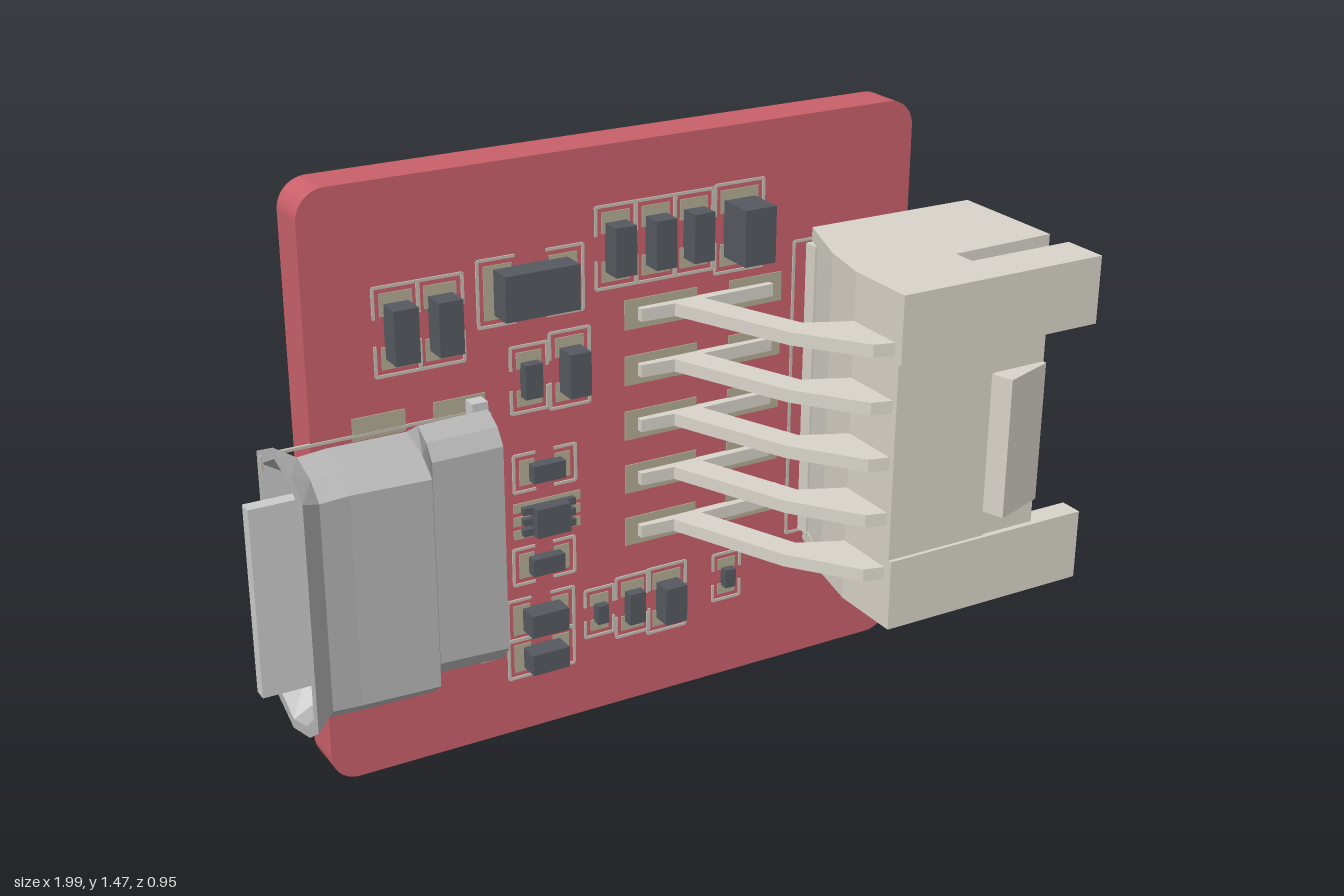
import * as THREE from 'three';

const mat = (color, opts = {}) => {
  const m = new THREE.MeshStandardMaterial({ color, ...opts });
  return m;
};
const RED = mat(0xc9606a), DARK = mat(0x555a60), PAD = mat(0xb3ab94);
const IVORY = mat(0xd8d4ca), STEEL = mat(0xb4b4b4, { side: THREE.DoubleSide, flatShading: true });
const METAL = mat(0xcccccc), SILK = mat(0xc4bfb4);
const FRONT = -0.095, BACK = -0.205; // board faces

export function createModel() {
  const root = new THREE.Group();
  const add = (parent, name, geo, material) => {
    const m = new THREE.Mesh(geo, material);
    m.name = name;
    parent.add(m);
    return m;
  };
  const group = (name) => {
    const g = new THREE.Group();
    g.name = name;
    root.add(g);
    return g;
  };
  // box from its minimum and maximum corners
  const box = (parent, name, material, x0, x1, y0, y1, z0, z1) => {
    const g = new THREE.BoxGeometry(x1 - x0, y1 - y0, z1 - z0);
    return add(parent, name, g.translate((x0 + x1) / 2, (y0 + y1) / 2, (z0 + z1) / 2), material);
  };
  // outline in x,z raised from y0 to y1
  const prism = (parent, name, material, pts, y0, y1) => {
    const s = new THREE.Shape(pts.map(([x, z]) => new THREE.Vector2(x, -z)));
    const g = new THREE.ExtrudeGeometry(s, { depth: y1 - y0, bevelEnabled: false });
    return add(parent, name, g.rotateX(-Math.PI / 2).translate(0, y0, 0), material);
  };
  // thin pad lying on the front (side 1) or back (side -1) face
  const pad = (parent, cx, cy, w, h, side = 1) => {
    const z = side > 0 ? FRONT : BACK;
    box(parent, 'pad', PAD, cx - w / 2, cx + w / 2, cy - h / 2, cy + h / 2, z - 0.003, z + 0.003);
  };
  // pair of facing printed brackets around a part
  const brackets = (parent, x0, x1, y0, y1, vertical, side = 1, leg = 0.35) => {
    const t = 0.007, z = side > 0 ? FRONT : BACK;
    const line = (a, b, c, d) => box(parent, 'outline', SILK, a, b, c, d, z - 0.004, z + 0.004);
    const l = leg * (vertical ? y1 - y0 : x1 - x0);
    if (vertical) {
      for (const y of [y0, y1]) line(x0, x1, y - t / 2, y + t / 2);
      for (const x of [x0, x1]) {
        line(x - t / 2, x + t / 2, y0, y0 + l);
        line(x - t / 2, x + t / 2, y1 - l, y1);
      }
    } else {
      for (const x of [x0, x1]) line(x - t / 2, x + t / 2, y0, y1);
      for (const y of [y0, y1]) {
        line(x0, x0 + l, y - t / 2, y + t / 2);
        line(x1 - l, x1, y - t / 2, y + t / 2);
      }
    }
  };

  // circuit board with rounded corners
  const r = 0.07, X0 = -0.805, X1 = 0.81, H = 1.465;
  const s = new THREE.Shape();
  s.absarc(X1 - r, r, r, -Math.PI / 2, 0);
  s.absarc(X1 - r, H - r, r, 0, Math.PI / 2);
  s.absarc(X0 + r, H - r, r, Math.PI / 2, Math.PI);
  s.absarc(X0 + r, r, r, Math.PI, 1.5 * Math.PI);
  const board = new THREE.ExtrudeGeometry(s, { depth: FRONT - BACK, bevelEnabled: false, curveSegments: 8 });
  add(root, 'board', board.translate(0, 0, BACK), RED);

  // small chips: centre x, centre y, body width, body height, depth, vertical, side
  const chips = [
    [-0.585, 1.115, 0.06, 0.13, 0.06, 1], [-0.477, 1.115, 0.06, 0.13, 0.06, 1],
    [-0.25, 1.16, 0.19, 0.11, 0.065, 0],
    [-0.028, 1.22, 0.055, 0.12, 0.055, 1], [0.08, 1.22, 0.055, 0.12, 0.055, 1],
    [0.183, 1.22, 0.055, 0.12, 0.055, 1], [0.31, 1.215, 0.085, 0.14, 0.1, 1],
    [-0.26, 0.935, 0.045, 0.085, 0.03, 1], [-0.153, 0.94, 0.055, 0.11, 0.06, 1],
    [-0.224, 0.697, 0.085, 0.045, 0.03, 0], [-0.23, 0.452, 0.085, 0.045, 0.03, 0],
    [-0.242, 0.308, 0.1, 0.06, 0.055, 0], [-0.242, 0.203, 0.1, 0.055, 0.055, 0],
    [-0.08, 0.275, 0.03, 0.05, 0.025, 1], [0.015, 0.27, 0.045, 0.085, 0.03, 1],
    [0.113, 0.265, 0.06, 0.1, 0.055, 1], [0.29, 0.283, 0.03, 0.05, 0.025, 1],
    [-0.645, 0.8, 0.075, 0.045, 0.035, 0, -1], [-0.645, 0.7, 0.045, 0.032, 0.02, 0, -1],
    [-0.5, 0.49, 0.045, 0.032, 0.02, 0, -1], [-0.5, 0.4, 0.075, 0.045, 0.035, 0, -1],
  ];
  for (const [x, y, w, h, d, v, side = 1] of chips) {
    const g = group('chip');
    const z = side > 0 ? FRONT : BACK;
    box(g, 'chipBody', DARK, x - w / 2, x + w / 2, y - h / 2, y + h / 2,
      side > 0 ? z : z - d, side > 0 ? z + d : z);
    const pw = w + (v ? 0.02 : 0.05), ph = h + (v ? 0.05 : 0.02);
    for (const k of [-1, 1]) {
      if (v) pad(g, x, y + k * ph * 0.35, pw, ph * 0.3, side);
      else pad(g, x + k * pw * 0.35, y, pw * 0.3, ph, side);
    }
    const ox = w / 2 + (v ? 0.025 : 0.04), oy = h / 2 + (v ? 0.04 : 0.025);
    brackets(g, x - ox, x + ox, y - oy, y + oy, v, side);
  }

  // small transistor package with six legs
  const sot = group('transistor');
  box(sot, 'transistorBody', DARK, -0.265, -0.175, 0.535, 0.61, FRONT, FRONT + 0.04);
  for (const k of [-1, 0, 1]) {
    pad(sot, -0.22, 0.573 + k * 0.035, 0.18, 0.024);
    box(sot, 'transistorLeg', DARK, -0.29, -0.15, 0.564 + k * 0.028, 0.582 + k * 0.028, FRONT, FRONT + 0.018);
  }

  // right side socket: shroud with slotted side walls, open towards +x
  const socket = group('wireSocket');
  const wall = [[0.42, 0.24], [0.42, 0.43], [0.99, 0.43], [0.99, 0.31], [0.7, 0.31], [0.7, 0.25],
    [0.99, 0.24], [0.99, -0.085], [0.52, -0.09], [0.45, 0.1]];
  prism(socket, 'socketWall', IVORY, wall, 1.14, 1.18);
  prism(socket, 'socketWall', IVORY, wall, 0.335, 0.375);
  prism(socket, 'socketCore', IVORY,
    [[0.42, 0.24], [0.42, 0.42], [0.7, 0.42], [0.7, -0.08], [0.52, -0.08], [0.45, 0.1]], 0.37, 1.145);
  const arm = [[0.42, 0.37], [0.42, 0.43], [0.99, 0.43], [0.99, 0.37]];
  prism(socket, 'frontArm', IVORY, arm, 1.01, 1.15);
  prism(socket, 'frontArm', IVORY, arm, 0.365, 0.515);
  prism(socket, 'backWall', IVORY, [[0.5, -0.085], [0.5, -0.045], [0.95, -0.045], [0.95, -0.085]], 0.37, 1.145);
  box(socket, 'frontWall', IVORY, 0.6, 0.85, 0.5, 1.02, 0.37, 0.415);
  prism(socket, 'latch', IVORY, [[0.69, 0.41], [0.71, 0.475], [0.85, 0.425], [0.85, 0.41]], 0.58, 0.935);

  // bent contacts and their pads
  const lead = [[0.03, FRONT], [0.03, -0.075], [0.12, -0.07], [0.25, 0.23], [0.37, 0.39], [0.44, 0.41],
    [0.44, 0.24], [0.41, 0.235], [0.31, 0.19], [0.2, -0.07], [0.4, -0.075], [0.4, FRONT]];
  for (let i = 0; i < 5; i++) {
    const y = 0.475 + i * 0.142;
    prism(socket, 'contact', IVORY, lead, y - 0.016, y + 0.016);
    box(socket, 'innerPin', IVORY, 0.68, 0.92, y - 0.01, y + 0.01, 0.14, 0.17);
    pad(socket, 0.095, y, 0.2, 0.075);
    pad(socket, 0.36, y, 0.15, 0.075);
  }
  brackets(socket, 0.47, 0.94, 0.36, 1.15, false, 1, 0.5);

  // left side plug port: flared shell lofted along x, hollow at the mouth
  const port = group('plugPort');
  const ring = [[-0.8, 1], [0.8, 1], [0.92, 0.78], [1, 0.4], [0.86, 0], [-0.86, 0], [-1, 0.4], [-0.92, 0.78]];
  // x, half height, lowest z, highest z
  const sections = [[-0.395, 0, -0.02, -0.02], [-0.395, 0.325, -0.085, 0.04], [-0.57, 0.32, -0.085, 0.035],
    [-0.61, 0.325, -0.095, 0.125], [-0.8, 0.325, -0.09, 0.115], [-0.87, 0.32, -0.085, 0.115],
    [-0.92, 0.35, -0.125, 0.15], [-0.92, 0.325, -0.1, 0.125], [-0.86, 0.29, -0.07, 0.095],
    [-0.6, 0.29, -0.07, 0.095], [-0.6, 0, 0.01, 0.01]];
  const pos = [], idx = [], n = ring.length;
  for (const [x, h, z0, z1] of sections)
    for (const [a, b] of ring) pos.push(x, 0.58 + a * h, z0 + b * (z1 - z0));
  for (let i = 0; i < sections.length - 1; i++)
    for (let j = 0; j < n; j++) {
      const a = i * n + j, b = i * n + (j + 1) % n;
      idx.push(a, a + n, b, b, a + n, b + n);
    }
  const shell = new THREE.BufferGeometry();
  shell.setAttribute('position', new THREE.Float32BufferAttribute(pos, 3));
  shell.setIndex(idx);
  shell.computeVertexNormals();
  add(port, 'portShell', shell, STEEL);
  box(port, 'portTongue', METAL, -1, -0.59, 0.35, 0.815, -0.01, 0.025);
  box(port, 'rearRim', METAL, -0.425, -0.385, 0.24, 0.915, FRONT, -0.055);
  for (let i = 0; i < 18; i++) pad(port, -0.37, 0.3 + i * 0.033, 0.02, 0.018);
  for (const x of [-0.64, -0.44])
    for (const y of [0.25, 0.895]) for (const side of [1, -1]) pad(port, x, y, 0.13, 0.055, side);
  brackets(port, -0.92, -0.38, 0.28, 0.88, true, 1, 0.06);

  // block on the back: U-shaped cover around an inner core
  const block = group('backBlock');
  prism(block, 'blockCover', DARK, [[-0.185, BACK], [-0.185, -0.475], [0.305, -0.475], [0.305, BACK],
    [0.19, BACK], [0.19, -0.415], [-0.065, -0.415], [-0.065, BACK]], 0.235, 0.655);
  prism(block, 'blockCore', DARK, [[-0.05, -0.285], [-0.03, -0.27], [0.15, -0.27], [0.168, -0.285],
    [0.168, -0.39], [0.15, -0.405], [-0.03, -0.405], [-0.05, -0.39]], 0.25, 0.64);
  brackets(block, -0.2, 0.32, 0.22, 0.67, false, -1);

  // round test points on the back
  const points = [[0.565, 0.82], [0.64, 0.64], [0.29, 0.84], [0.06, 0.77], [-0.055, 0.83],
    [0.565, 0.27], [0.39, 0.24], [-0.22, 0.22]];
  for (const [x, y] of points) {
    const g = new THREE.CylinderGeometry(0.037, 0.037, 0.006, 20).rotateX(Math.PI / 2);
    add(root, 'testPoint', g.translate(x, y, BACK), PAD);
  }
  return root;
}
